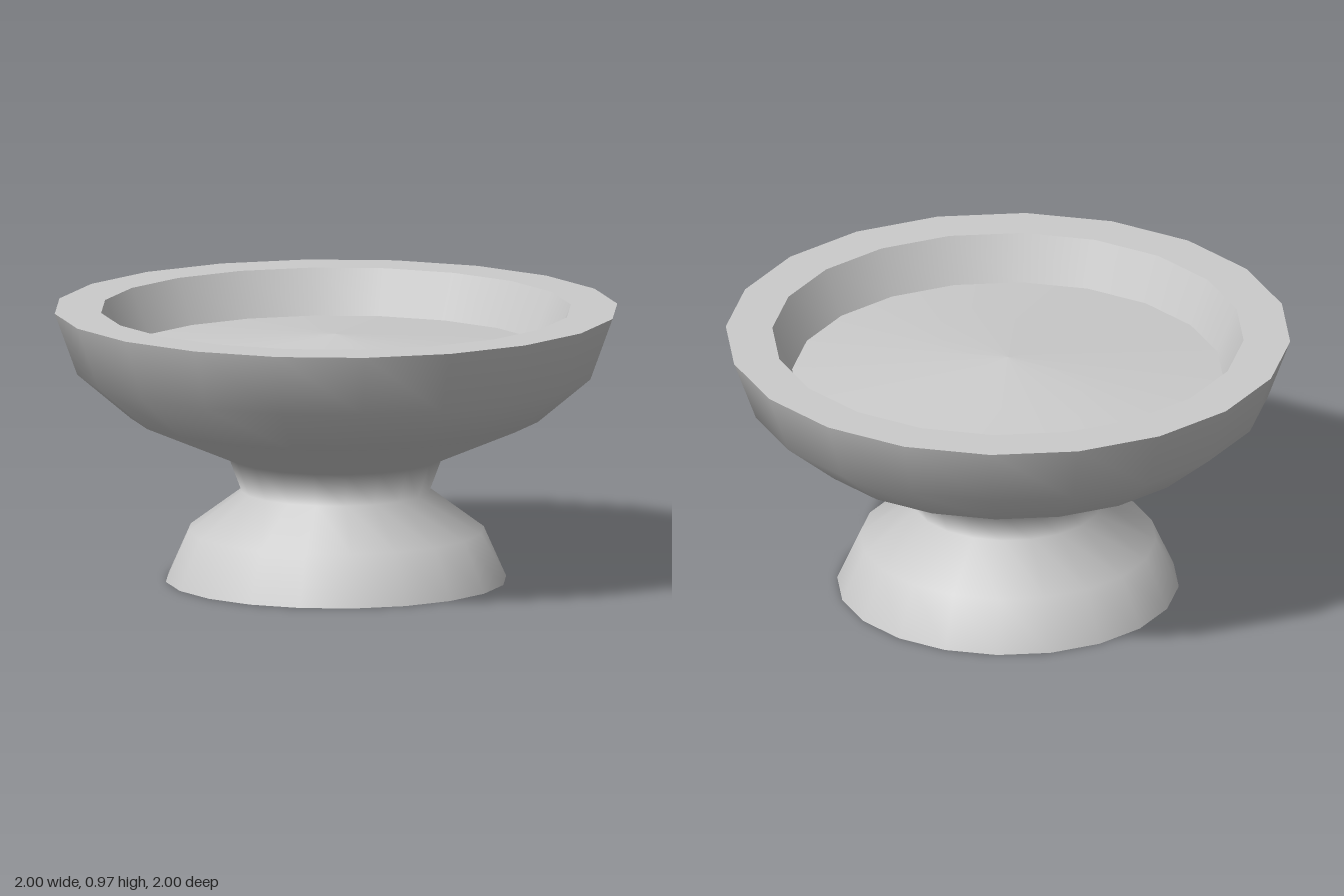
import * as THREE from 'three';

const SIDES = 20;
const material = new THREE.MeshStandardMaterial({ color: 0xcccccc });

// Turned surface from [radius, height] pairs; smooth within, sharp between parts
function turned(name, profile) {
  const points = profile.map(([r, y]) => new THREE.Vector2(r, y));
  const mesh = new THREE.Mesh(new THREE.LatheGeometry(points, SIDES), material);
  mesh.name = name;
  return mesh;
}

export function createModel() {
  const group = new THREE.Group();
  group.name = 'pedestalBowl';

  group.add(
    // flat underside of the foot
    turned('footBase', [[0, 0], [0.605, 0]]),
    // flared foot, narrow neck and bowl exterior in one smooth sweep
    turned('footAndBowlOutside', [
      [0.605, 0], [0.525, 0.18], [0.335, 0.32], [0.38, 0.44],
      [0.73, 0.59], [0.92, 0.75], [1, 0.97],
    ]),
    // wide flat rim
    turned('rim', [[1, 0.97], [0.835, 0.97]]),
    // slanted inner wall
    turned('innerWall', [[0.835, 0.97], [0.765, 0.81]]),
    // shallow floor rising slightly to the middle
    turned('bowlFloor', [[0.765, 0.81], [0, 0.88]]),
  );
  return group;
}
